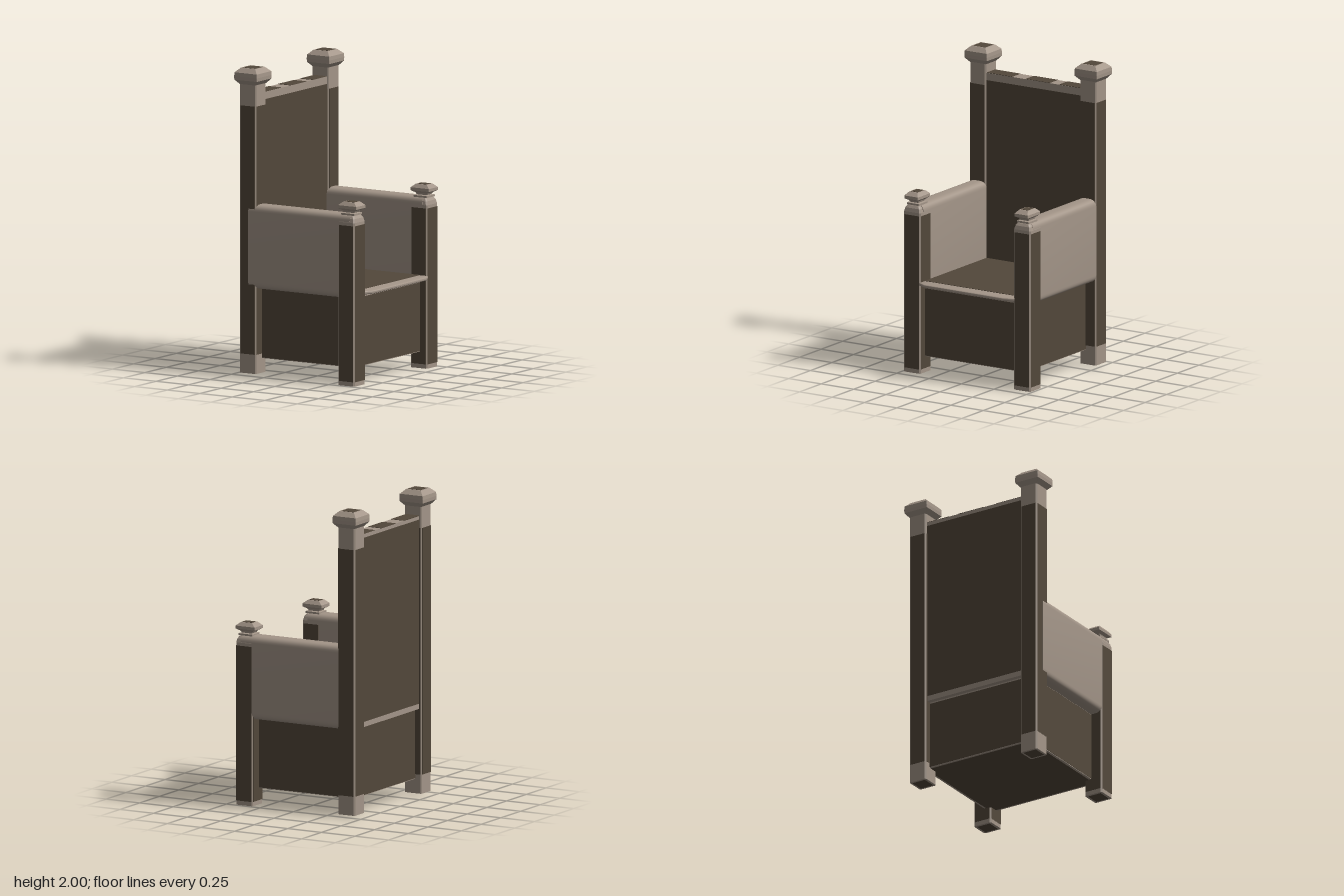
import * as THREE from 'three';
import { toCreasedNormals } from 'three/addons/utils/BufferGeometryUtils.js';

// Stack of chamfered rectangles [y, halfX, halfZ], flat shaded and capped
function loft(levels, c = 0.008) {
  const rings = levels.map(([y, hx, hz]) => [
    [hx, -hz + c], [hx, hz - c], [hx - c, hz], [-hx + c, hz],
    [-hx, hz - c], [-hx, -hz + c], [-hx + c, -hz], [hx - c, -hz],
  ].map(([x, z]) => [x, y, z]));
  const pos = [];
  const tri = (...p) => p.forEach((v) => pos.push(...v));
  for (let r = 0; r + 1 < rings.length; r++) {
    for (let i = 0; i < 8; i++) {
      const j = (i + 1) % 8, a = rings[r], b = rings[r + 1];
      tri(a[i], b[i], a[j]);
      tri(a[j], b[i], b[j]);
    }
  }
  const bottom = rings[0], top = rings[rings.length - 1];
  for (let i = 1; i < 7; i++) {
    tri(bottom[0], bottom[i], bottom[i + 1]);
    tri(top[0], top[i + 1], top[i]);
  }
  const g = new THREE.BufferGeometry();
  g.setAttribute('position', new THREE.Float32BufferAttribute(pos, 3));
  g.computeVertexNormals();
  return g;
}

export function createModel() {
  const light = new THREE.MeshStandardMaterial({ color: 0xa39588 });
  light.name = 'paleWood';
  const dark = new THREE.MeshStandardMaterial({ color: 0x52473a });
  dark.name = 'darkWood';
  const chair = new THREE.Group();
  chair.name = 'chair';

  const add = (parent, name, geometry, material) => {
    const m = new THREE.Mesh(geometry, material);
    m.name = name;
    parent.add(m);
    return m;
  };
  // Box given by its limits on each axis
  const block = (parent, name, material, x0, x1, y0, y1, z0, z1) => {
    const m = add(parent, name, new THREE.BoxGeometry(x1 - x0, y1 - y0, z1 - z0), material);
    m.position.set((x0 + x1) / 2, (y0 + y1) / 2, (z0 + z1) / 2);
    return m;
  };
  // Dark inlays on the four sides and underside of a post
  const inlays = (post, hx, hz, y0, y1, bottom) => {
    const e = 0.0015, inset = 0.008;
    block(post, 'postInlay', dark, -hx + inset, hx - inset, y0, y1, -hz - e, hz + e);
    block(post, 'postInlay', dark, -hx - e, hx + e, y0, y1, -hz + inset, hz - inset);
    block(post, 'footInlay', dark, -0.048, 0.048, bottom - e, bottom + e, -0.048, 0.048);
  };

  for (const s of [1, -1]) {
    // Tall back posts with square knobs
    const back = new THREE.Group();
    back.name = 'backPost';
    back.position.set(-0.385, 0, s > 0 ? 0.422 : -0.427);
    add(back, 'backPostBody', loft([[0.015, 0.063, 0.062], [1.9, 0.063, 0.062]]), light);
    inlays(back, 0.063, 0.062, 0.14, 1.755, 0.015);
    add(back, 'backKnob', loft([
      [1.893, 0.062, 0.062], [1.922, 0.087, 0.087], [1.945, 0.088, 0.088],
      [1.97, 0.086, 0.086], [1.999, 0.056, 0.056],
    ], 0.002), light);
    block(back, 'backKnobInlay', dark, -0.047, 0.047, 1.997, 2.0, -0.047, 0.047);
    chair.add(back);

    // Short front posts with rounded shoulders and small knobs
    const front = new THREE.Group();
    front.name = 'frontPost';
    front.position.set(0.375, 0, s * 0.4245);
    add(front, 'frontPostBody', loft([
      [0.002, 0.063, 0.0645], [1.065, 0.063, 0.0645], [1.09, 0.057, 0.058],
      [1.105, 0.047, 0.048], [1.113, 0.036, 0.036],
    ]), light);
    inlays(front, 0.063, 0.0645, 0.03, 1.045, 0.002);
    add(front, 'frontKnob', loft([
      [1.11, 0.052, 0.047], [1.122, 0.052, 0.047], [1.126, 0.038, 0.032], [1.138, 0.045, 0.036],
      [1.152, 0.072, 0.053], [1.171, 0.072, 0.053], [1.194, 0.043, 0.034],
    ], 0.002), light);
    block(front, 'frontKnobInlay', dark, -0.035, 0.035, 1.192, 1.1955, -0.026, 0.026);
    chair.add(front);

    // Thick side panel with rounded top and bottom, run from post to post
    const w = 0.0645, r = 0.045, y0 = 0.568, y1 = 1.115;
    const section = new THREE.Shape();
    section.moveTo(-w, y0 + r);
    section.quadraticCurveTo(-w, y0, -w + r, y0);
    section.lineTo(w - r, y0);
    section.quadraticCurveTo(w, y0, w, y0 + r);
    section.lineTo(w, y1 - r);
    section.quadraticCurveTo(w, y1, w - r, y1);
    section.lineTo(-w + r, y1);
    section.quadraticCurveTo(-w, y1, -w, y1 - r);
    const armGeo = new THREE.ExtrudeGeometry(section, { depth: 0.78, bevelEnabled: false, curveSegments: 6 });
    armGeo.rotateY(Math.PI / 2);
    const arm = add(chair, 'armPanel', toCreasedNormals(armGeo, 0.6), light);
    arm.position.set(-0.378, 0, s * 0.4235);
  }

  // Backrest with dark faces and dark patches along its top
  block(chair, 'backrest', light, -0.43, -0.333, 0.57, 1.835, -0.38, 0.38);
  block(chair, 'backrestFront', dark, -0.335, -0.331, 0.6, 1.787, -0.37, 0.37);
  block(chair, 'backrestRear', dark, -0.432, -0.428, 0.605, 1.81, -0.37, 0.37);
  for (const [z0, z1] of [[-0.37, -0.2], [-0.125, 0.06], [0.165, 0.37]]) {
    block(chair, 'backrestTopInlay', dark, -0.43, -0.334, 1.833, 1.837, z0, z1);
  }

  // Seat base with dark sides and underside inside pale edges
  block(chair, 'seatBase', light, -0.4, 0.385, 0.11, 0.585, -0.41, 0.41);
  block(chair, 'baseSidesInlay', dark, -0.392, 0.377, 0.114, 0.565, -0.412, 0.412);
  block(chair, 'baseEndsInlay', dark, -0.402, 0.387, 0.114, 0.56, -0.402, 0.402);
  block(chair, 'baseUndersideInlay', dark, -0.385, 0.37, 0.108, 0.112, -0.395, 0.395);

  // Thin seat board with a rounded lip and cut front corners
  const b = 0.009;
  const board = new THREE.Shape([
    [-0.34, -0.36], [0.435, -0.36], [0.471 - b, -0.305],
    [0.471 - b, 0.305], [0.435, 0.36], [-0.34, 0.36],
  ].map(([x, y]) => new THREE.Vector2(x, y)));
  const boardGeo = new THREE.ExtrudeGeometry(board, {
    depth: 0.004, bevelEnabled: true, bevelSize: b, bevelThickness: b, bevelSegments: 3,
  });
  boardGeo.rotateX(-Math.PI / 2);
  add(chair, 'seatBoard', toCreasedNormals(boardGeo, 0.7), light).position.y = 0.594;
  block(chair, 'seatTop', dark, -0.335, 0.385, 0.605, 0.609, -0.37, 0.37);

  return chair;
}
